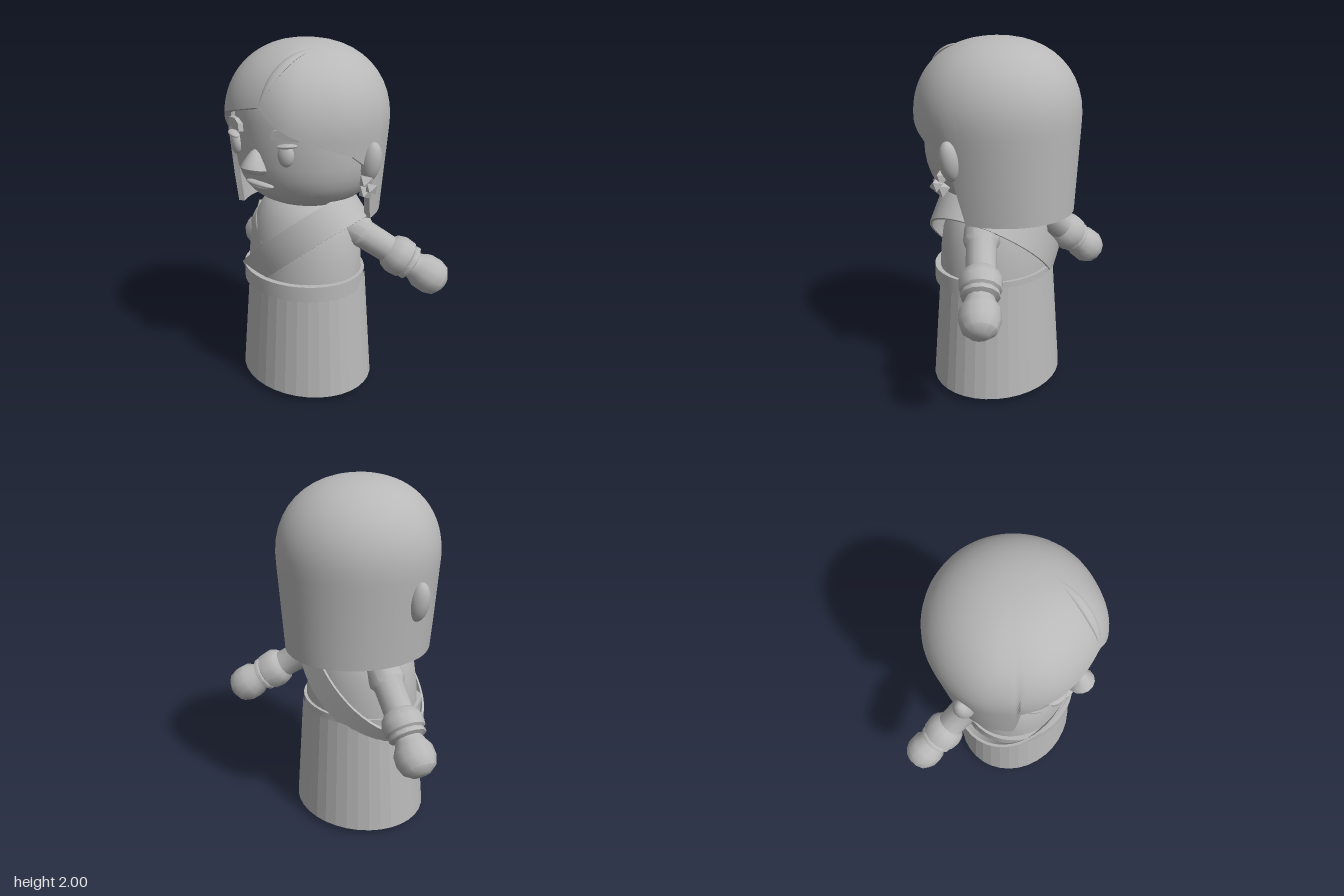
import * as THREE from 'three';
import { toCreasedNormals } from 'three/addons/utils/BufferGeometryUtils.js';

const V = (x, y, z) => new THREE.Vector3(x, y, z);
const rad = THREE.MathUtils.degToRad;

export function createModel() {
  const group = new THREE.Group();
  const clay = new THREE.MeshStandardMaterial({ color: 0xb8b8b8 });
  clay.name = 'clay grey';

  function add(name, geo, pos = [0, 0, 0], rot = [0, 0, 0], scale = [1, 1, 1]) {
    const m = new THREE.Mesh(geo, clay);
    m.name = name;
    m.position.set(...pos);
    m.rotation.set(...rot);
    m.scale.set(...scale);
    group.add(m);
    return m;
  }
  // Lathe from [radius, height] pairs listed bottom to top
  const lathe = (pts, sides, crease = 0.6) => toCreasedNormals(
    new THREE.LatheGeometry(pts.map(([r, y]) => new THREE.Vector2(r, y)), sides), crease);

  // Head: a rounded-square profile turned around y
  const P = 2.9, profile = [];
  for (let i = 0; i <= 20; i++) {
    const a = -Math.PI / 2 + Math.PI * i / 20;
    const c = Math.max(0, Math.cos(a)), s = Math.sin(a);
    profile.push([c ** (2 / P), Math.sign(s) * Math.abs(s) ** (2 / P)]);
  }
  add('head', lathe(profile, 40, 1), [0.015, 1.5, 0], [0, 0, 0], [0.405, 0.375, 0.386]);
  add('neck', new THREE.CylinderGeometry(0.14, 0.17, 0.16, 20), [0.01, 1.13, 0]);

  // Hair: thick shell whose lower edge follows [angle from front, height]
  const edge = [[-180, 1.07], [-57, 1.07], [-55, 1.5], [-38, 1.62], [-20, 1.66], [10, 1.71], [21, 1.635],
    [32, 1.585], [50, 1.53], [75, 1.46], [90, 1.38], [96, 1.25], [100, 1.07], [180, 1.07]];
  function edgeAt(deg) {
    const k = Math.max(1, edge.findIndex(e => e[0] >= deg));
    const [a0, y0] = edge[k - 1], [a1, y1] = edge[k];
    return y0 + (y1 - y0) * (deg - a0) / (a1 - a0);
  }
  function hairPoint(deg, y, inset = 0) {
    const a = rad(deg), up = Math.max(0, (y - 1.58) / 0.42), low = Math.max(0, (1.58 - y) / 0.51);
    const fringe = 1 + 0.05 * Math.exp(-(((deg - 28) / 20) ** 2)) - 0.03 * Math.exp(-(((deg + 58) / 18) ** 2));
    const k = fringe * Math.max(0, 1 - up ** 2.2) ** (1 / 2.2);
    const rx = (0.453 - 0.05 * low - inset) * k;
    const rz = ((Math.cos(a) > 0 ? 0.435 : 0.46) - 0.018 * low - inset) * k;
    return V(Math.sin(a) * rx, y - (y > 1.58 ? inset * up : 0), Math.cos(a) * rz);
  }
  const cols = 96, rows = 18, pos = [], idx = [];
  for (let i = 0; i <= cols; i++) {
    const deg = -180 + 360 * i / cols, low = edgeAt(deg);
    for (let j = 0; j <= 2 * rows + 1; j++) {
      const s = (j <= rows ? j : 2 * rows + 1 - j) / rows;
      const y = 2 - (2 - low) * (1 - Math.cos(s * Math.PI / 2));
      pos.push(...hairPoint(deg, y, j <= rows ? 0 : 0.035).toArray());
    }
  }
  const n = 2 * rows + 2;
  for (let i = 0; i < cols; i++) for (let j = 0; j < n - 1; j++) {
    const a = i * n + j, b = a + n;
    idx.push(a, a + 1, b + 1, a, b + 1, b);
  }
  const hairGeo = new THREE.BufferGeometry();
  hairGeo.setAttribute('position', new THREE.Float32BufferAttribute(pos, 3));
  hairGeo.setIndex(idx);
  add('hair', toCreasedNormals(hairGeo, 0.7));

  // Leaf-shaped lock along the parting, tapered at both ends
  const path = new THREE.CatmullRomCurve3(
    [[10, 1.71], [14, 1.8], [20, 1.88], [30, 1.935], [58, 1.972]].map(([d, y]) => hairPoint(d, y)));
  const leaf = new THREE.TubeGeometry(path, 16, 0.03, 8);
  const lp = leaf.attributes.position;
  for (let i = 0; i < lp.count; i++) {
    const t = Math.floor(i / 9) / 16, c = path.getPointAt(t);
    const p = V(0, 0, 0).fromBufferAttribute(lp, i).sub(c).multiplyScalar(Math.sin(Math.PI * t));
    lp.setXYZ(i, c.x + p.x, c.y + p.y * 0.5, c.z + p.z * 0.5);
  }
  leaf.computeVertexNormals();
  add('hairParting', leaf);

  // Face
  const ball = new THREE.SphereGeometry(1, 20, 14);
  const brow = new THREE.Shape();
  brow.moveTo(-0.09, -0.03).lineTo(0.05, -0.024).lineTo(0.085, -0.008)
    .lineTo(0.07, 0.028).lineTo(-0.03, 0.032).lineTo(-0.085, 0.012);
  const browGeo = new THREE.ExtrudeGeometry(brow, { depth: 0.045, bevelEnabled: false });
  for (const s of [-1, 1]) {
    const x = 0.012 + s * 0.182;
    add('eye', ball, [x, 1.475, 0.352], [0, s * 0.4, 0], [0.043, 0.06, 0.03]);
    add('eyelash', ball, [x + s * 0.012, 1.525, 0.358], [0, s * 0.4, s * 0.12], [0.056, 0.012, 0.028]);
    // Brow outline points inward along -x, so the left one is turned over
    const b = add('eyebrow', browGeo, [x, 1.577, 0.315], [0, s * 0.42, -s * 0.06], [s, 1, 1]);
    b.scale.x = s;
    add('ear', ball, [s * 0.437, 1.41, -0.02], [0, 0, -s * 0.2], [0.055, 0.11, 0.055]);
  }
  add('nose', lathe([[0, 0], [0.055, 0.005], [0.074, 0.03], [0.062, 0.06], [0.03, 0.115], [0, 0.14]], 14, 1),
    [0.008, 1.35, 0.4], [-0.2, 0, 0]);
  add('upperLip', ball, [0.01, 1.29, 0.36], [0, 0, 0], [0.1, 0.016, 0.03]);
  add('lowerLip', ball, [0.01, 1.278, 0.357], [0, 0, 0], [0.07, 0.016, 0.03]);

  // Earring gems on the left ear
  for (const [x, y, z, r] of [[0.45, 1.32, 0.03, 0.045], [0.485, 1.29, 0.03, 0.038], [0.445, 1.26, 0.025, 0.045]])
    add('earring', new THREE.OctahedronGeometry(r), [x, y, z], [0.3, 0.4, 0.5]);

  // Torso
  add('torso', lathe([[0, 0.68], [0.345, 0.68], [0.345, 0.74], [0.338, 0.84], [0.322, 0.95], [0.288, 1.05],
    [0.24, 1.12], [0.16, 1.175], [0, 1.19]], 36, 0.8), [0.005, 0, 0.012], [0, 0, 0], [1, 1, 0.875]);
  const collar = new THREE.CatmullRomCurve3([V(-0.22, 1.08, 0.14), V(-0.16, 1.0, 0.23), V(-0.06, 0.9, 0.284)]);
  add('collarFold', new THREE.TubeGeometry(collar, 8, 0.013, 6));

  // Skirt: faceted hollow cone with a thick hem
  add('skirt', lathe([[0.33, 0.7], [0.385, 0.035], [0.41, 0.035], [0.355, 0.7]], 36, 0.05),
    [0.008, 0, -0.003], [0, 0, 0], [1, 1, 0.88]);
  add('waistband', lathe([[0.33, 0.64], [0.363, 0.64], [0.363, 0.73], [0.33, 0.73], [0.33, 0.64]], 40),
    [0.008, 0, 0.022], [0, 0, 0], [1, 1, 0.905]);

  // Sash: tilted closed band over the left shoulder and right hip
  add('sash', lathe([[0.96, -0.08], [1, -0.08], [1, 0.08], [0.96, 0.08], [0.96, -0.08]], 48),
    [0, 0.86, 0.012], [0.1, 0, 0.69], [0.455, 1, 0.325]);

  // Arms: sleeve, cuff and mitten hand turned around the arm line
  const armProfile = [[0, 0], [0.07, 0], [0.095, 0.04], [0.1, 0.14], [0.083, 0.17], [0.08, 0.33], [0.1, 0.35],
    [0.115, 0.39], [0.11, 0.45], [0.095, 0.46], [0.102, 0.47], [0.102, 0.49], [0.075, 0.5], [0.085, 0.53],
    [0.106, 0.57], [0.108, 0.63], [0.09, 0.685], [0.05, 0.715], [0, 0.72]];
  const armGeo = lathe(armProfile, 12, 0.7);
  for (const [name, a, b] of [['leftArm', V(0.21, 1.03, -0.05), V(0.62, 0.715, -0.35)],
    ['rightArm', V(-0.22, 1.03, -0.07), V(-0.625, 0.673, -0.235)]]) {
    const d = b.clone().sub(a), len = d.length();
    const arm = add(name, armGeo, a.toArray(), [0, 0, 0], [1, len / 0.61, 1]);
    arm.quaternion.setFromUnitVectors(V(0, 1, 0), d.normalize());
  }

  // Legs and flat-soled shoes
  const shoe = lathe([[0, 0], [1, 0], [1, 0.08], [0.85, 0.13], [0.5, 0.165], [0, 0.18]], 18);
  for (const s of [-1, 1]) {
    add('shoe', shoe, [0.01 + s * 0.155, 0, 0.05], [0, s * 0.1, 0], [0.102, 1, 0.175]);
    add('leg', new THREE.CylinderGeometry(0.1, 0.075, 0.6, 16), [0.01 + s * 0.15, 0.4, -0.02]);
  }
  return group;
}
